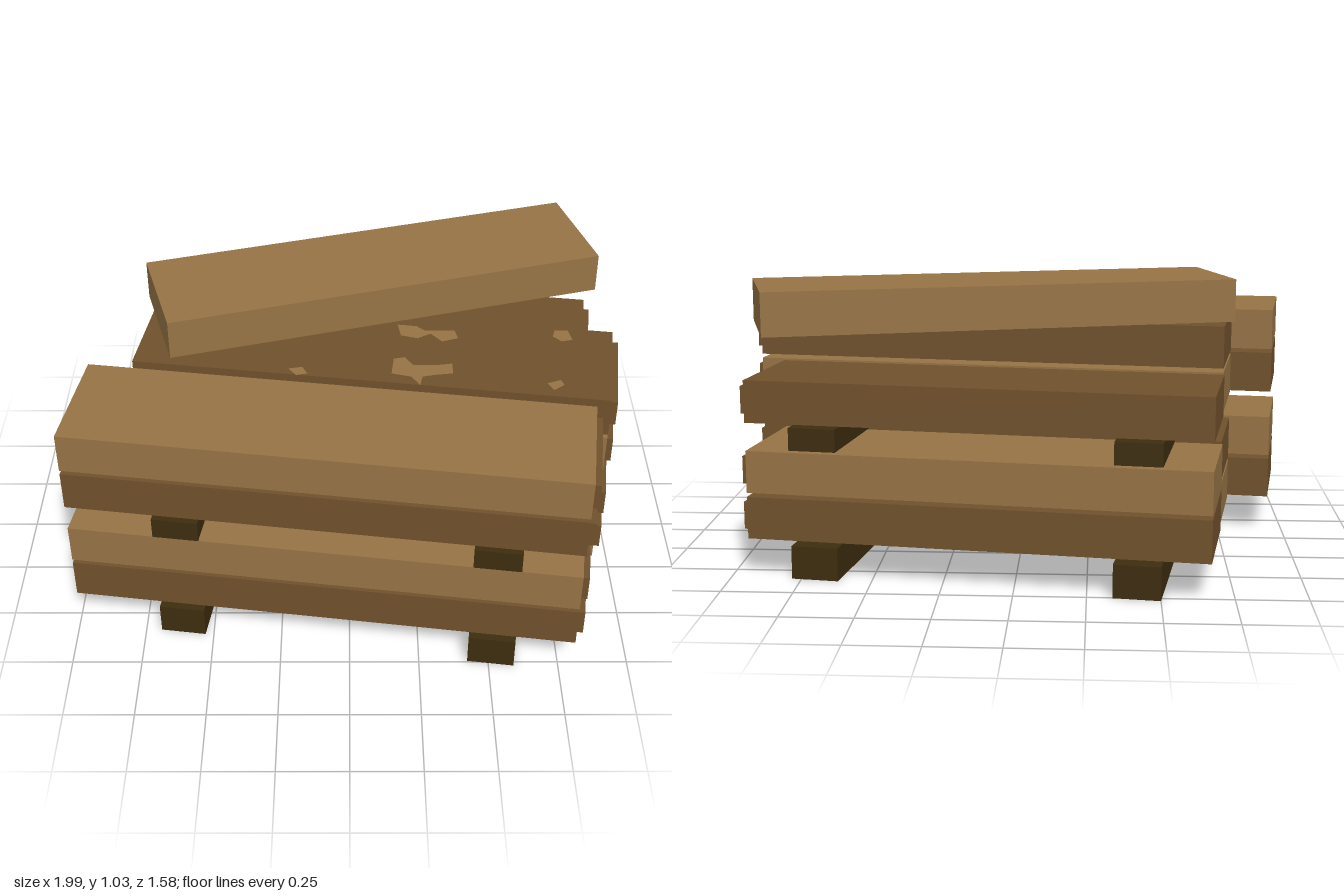
import * as THREE from 'three';

const mat = (name, color) => {
  const m = new THREE.MeshStandardMaterial({ color });
  m.name = name;
  return m;
};

export function createModel() {
  const lightWood = mat('light wood', 0x967345);
  const darkWood = mat('dark wood', 0x70512c);
  const skidWood = mat('skid wood', 0x3e2d0f);

  // Box given by its limits along each axis
  const block = (name, material, [x0, x1], [y0, y1], [z0, z1]) => {
    const mesh = new THREE.Mesh(new THREE.BoxGeometry(x1 - x0, y1 - y0, z1 - z0), material);
    mesh.position.set((x0 + x1) / 2, (y0 + y1) / 2, (z0 + z1) / 2);
    mesh.name = name;
    return mesh;
  };

  const model = new THREE.Group();
  model.name = 'timberStack';
  const stack = new THREE.Group();
  stack.name = 'stack';
  stack.rotation.y = -0.1405;
  model.add(stack);

  // Skids running across under each pair of layers
  for (const y of [[0, 0.118], [0.46, 0.54]])
    for (const x of [[-0.604, -0.44], [0.525, 0.692]])
      stack.add(block('skid', skidWood, x, y, [-0.7, 0.678]));

  // Three columns of beams in alternating colours, each with a raised end panel
  const columns = [
    { name: 'frontBeam', x: [-0.916, 0.902], z: [0.241, 0.666], layers: 4 },
    { name: 'middleBeam', x: [-0.764, 0.953], z: [-0.228, 0.2], layers: 4 },
    { name: 'backBeam', x: [-0.77, 0.853], z: [-0.69, -0.267], layers: 3 },
  ];
  const layerBase = [0.135, 0.3, 0.55, 0.715];
  columns.forEach(({ name, x, z, layers }, column) => {
    for (let i = 0; i < layers; i++) {
      const y = layerBase[i];
      const wood = (i + column) % 2 ? lightWood : darkWood;
      stack.add(block(name, wood, x, [y, y + 0.15], z));
      stack.add(block('endPanel', darkWood, [x[1] - 0.01, x[1] + 0.023],
        [y + 0.026, y + 0.124], [z[0] + 0.028, z[1] - 0.028]));
    }
  });

  // Loose beam lying askew on top
  const loose = block('looseBeam', lightWood, [-0.826, 0.826], [0.88, 1.03], [-0.2115, 0.2115]);
  loose.position.x = 0.09;
  loose.position.z = -0.337;
  loose.rotation.y = 0.278;
  model.add(loose);

  // Worn patches on the upper middle beam, outlined as x, z points
  const patches = [
    [[0.18, -0.14], [0.25, -0.13], [0.28, -0.1], [0.39, -0.1], [0.4, -0.05], [0.34, -0.03], [0.3, -0.08], [0.25, -0.05], [0.19, -0.07]],
    [[0.76, -0.1], [0.81, -0.1], [0.82, -0.04], [0.78, -0.03], [0.75, -0.06]],
    [[-0.22, 0.14], [-0.17, 0.13], [-0.15, 0.17], [-0.19, 0.18]],
    [[0.16, 0.08], [0.2, 0.07], [0.23, 0.12], [0.31, 0.12], [0.37, 0.11], [0.37, 0.17], [0.3, 0.18], [0.26, 0.19], [0.25, 0.24], [0.22, 0.19], [0.15, 0.17]],
    [[0.7, 0.23], [0.75, 0.21], [0.76, 0.24], [0.72, 0.27]],
  ];
  for (const points of patches) {
    const shape = new THREE.Shape(points.map(([x, z]) => new THREE.Vector2(x, -z)));
    const patch = new THREE.Mesh(new THREE.ShapeGeometry(shape).rotateX(-Math.PI / 2), lightWood);
    patch.position.y = 0.867;
    patch.name = 'wornPatch';
    model.add(patch);
  }

  return model;
}
